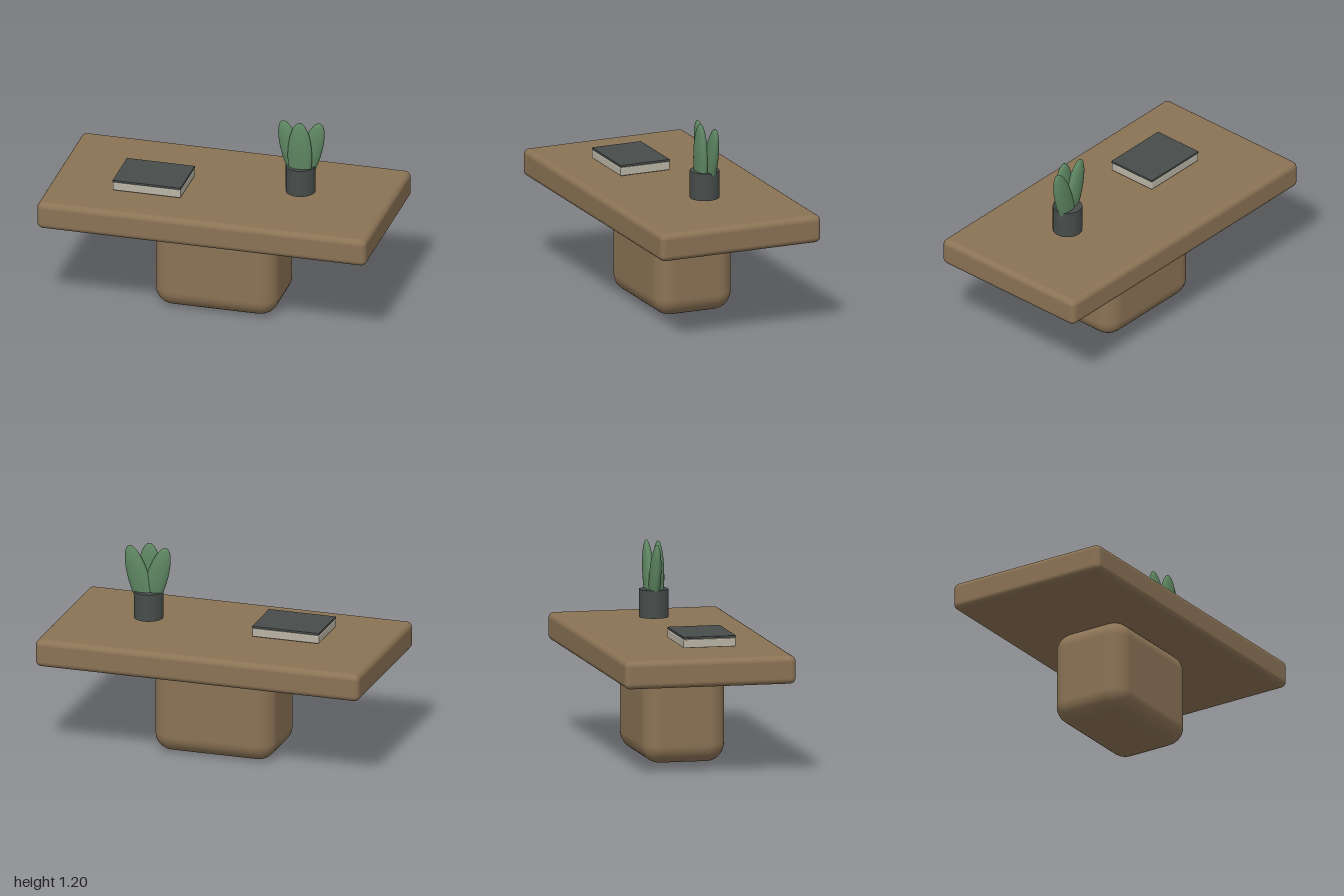
import * as THREE from 'three';
import { RoundedBoxGeometry } from 'three/addons/geometries/RoundedBoxGeometry.js';

const flat = (name, color) => {
  const m = new THREE.MeshStandardMaterial({ color });
  m.name = name;
  return m;
};

export function createModel() {
  const wood = flat('wood', 0x8b7355);
  const charcoal = flat('charcoal', 0x474d4b);
  const paper = flat('paper', 0xbab4a5);
  const green = flat('leaf green', 0x5d8561);

  const group = new THREE.Group();
  group.name = 'deskWithPlant';
  const add = (name, geometry, material, x, y, z, parent = group) => {
    const mesh = new THREE.Mesh(geometry, material);
    mesh.name = name;
    mesh.position.set(x, y, z);
    parent.add(mesh);
    return mesh;
  };

  // Table: thick rounded slab on a soft block pedestal that sinks slightly into it
  add('tableTop', new RoundedBoxGeometry(2, 0.166, 1.03, 4, 0.035), wood, 0, 0.635, 0);
  add('pedestal', new RoundedBoxGeometry(0.744, 0.57, 0.496, 4, 0.11), wood, 0, 0.285, 0);

  // Book: page block with a thin cover just above it
  const book = new THREE.Group();
  book.name = 'book';
  group.add(book);
  add('pages', new RoundedBoxGeometry(0.413, 0.05, 0.315, 2, 0.006), paper, -0.404, 0.752, 0.083, book);
  add('bookCover', new THREE.BoxGeometry(0.413, 0.012, 0.315), charcoal, -0.404, 0.786, 0.083, book);

  // Plant: round pot and three flattened leaves
  const plant = new THREE.Group();
  plant.name = 'pottedPlant';
  group.add(plant);
  add('pot', new THREE.CylinderGeometry(0.087, 0.087, 0.165, 32), charcoal, 0.465, 0.8325, 0, plant);
  const leaves = [
    // x, z, half width, half height, tilt
    ['leftLeaf', 0.517, -0.019, 0.065, 0.215, -0.3],
    ['middleLeaf', 0.468, 0.027, 0.074, 0.215, 0],
    ['rightLeaf', 0.417, -0.004, 0.065, 0.215, 0.3],
  ];
  for (const [name, x, z, w, h, tilt] of leaves) {
    const leaf = add(name, new THREE.SphereGeometry(1, 24, 16), green, x, 0.985, z, plant);
    leaf.scale.set(w, h, 0.033);
    leaf.rotation.z = tilt;
  }

  return group;
}
